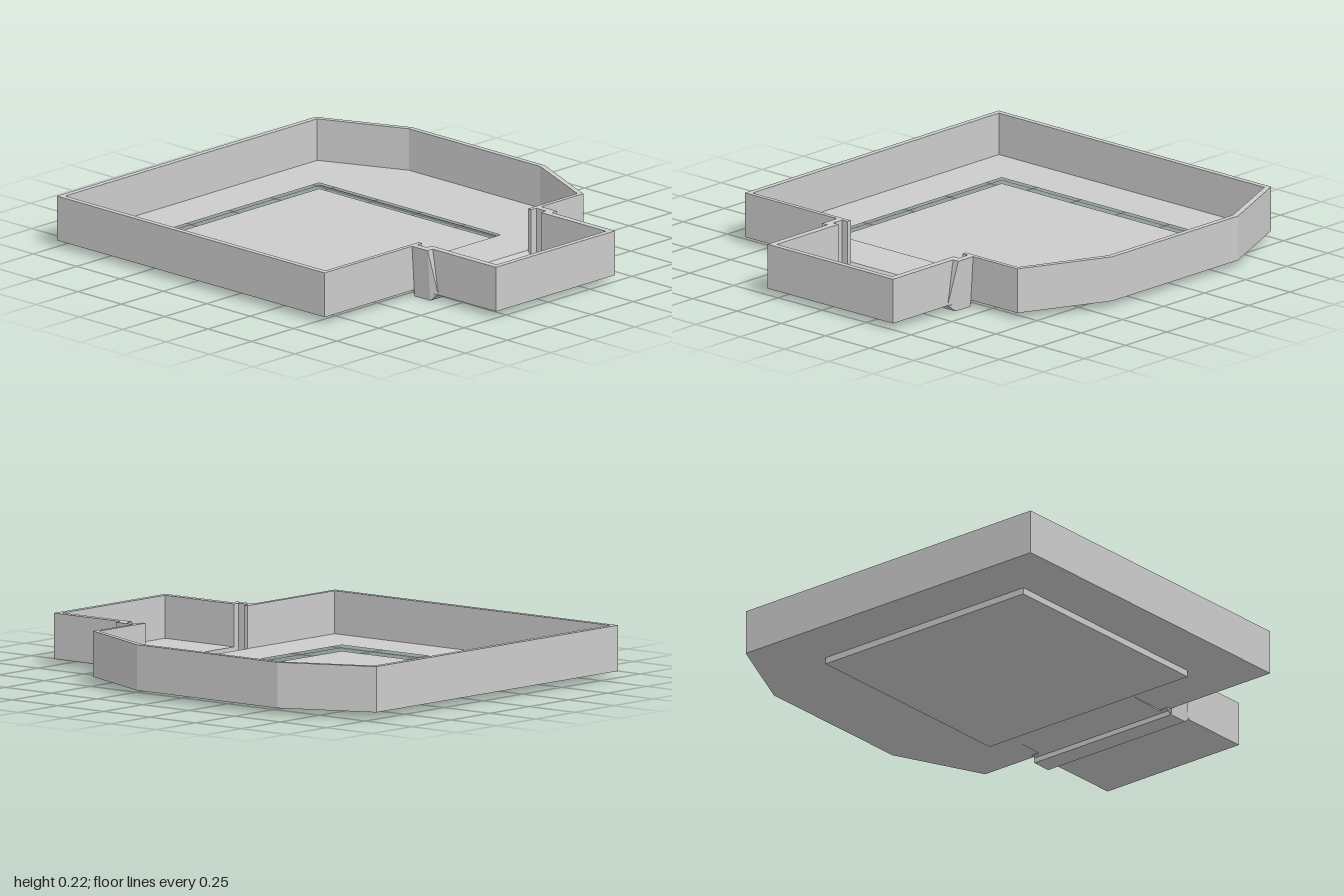
import * as THREE from 'three';
import { ConvexGeometry } from 'three/addons/geometries/ConvexGeometry.js';

const material = new THREE.MeshStandardMaterial({ color: 0xcccccc, flatShading: true });
const toVec = ([x, z]) => new THREE.Vector2(x, -z);
const rect = (x0, x1, z0, z1) => [[x0, z0], [x1, z0], [x1, z1], [x0, z1]];

// Upright slab from a plan outline of [x, z] points, between two heights
function slab(name, outline, y0, y1, hole) {
  const shape = new THREE.Shape(outline.map(toVec));
  if (hole) shape.holes.push(new THREE.Path(hole.map(toVec)));
  const geometry = new THREE.ExtrudeGeometry(shape, { depth: y1 - y0, bevelEnabled: false });
  geometry.rotateX(-Math.PI / 2).translate(0, y0, 0);
  return named(name, geometry);
}

function named(name, geometry) {
  const mesh = new THREE.Mesh(geometry, material);
  mesh.name = name;
  return mesh;
}

// Bar running along x with a [z, y] profile
function bar(name, profile, x0, x1) {
  const shape = new THREE.Shape(profile.map(([z, y]) => new THREE.Vector2(-z, y)));
  const geometry = new THREE.ExtrudeGeometry(shape, { depth: x1 - x0, bevelEnabled: false });
  geometry.rotateY(Math.PI / 2).translate(x0, 0, 0);
  return named(name, geometry);
}

export function createModel() {
  const model = new THREE.Group();
  model.name = 'steppedTray';
  const top = 0.22, base = 0.028, floorTop = 0.04;

  // Main walls, open at the doorway in the front
  const outer = [[-0.28, 0.545], [-0.86, 0.545], [-0.86, -1], [0.68, -1],
    [0.855, -0.61], [0.855, 0.155], [0.68, 0.545], [0.37, 0.545]];
  const inner = [[-0.28, 0.525], [-0.835, 0.525], [-0.835, -0.975], [0.665, -0.975],
    [0.83, -0.605], [0.83, 0.15], [0.665, 0.525], [0.37, 0.525]];
  model.add(slab('mainWall', [...outer, ...inner.slice().reverse()], base, top));

  // Main floor with the sunken square
  const pit = rect(-0.61, 0.445, -0.75, 0.295);
  const pitOuter = rect(-0.615, 0.455, -0.755, 0.305);
  model.add(slab('mainFloor', inner, base, floorTop, pit));
  model.add(slab('recessWall', pitOuter, 0, base, pit));
  model.add(slab('recessFloor', pit, 0, 0.015));

  // Front bay: three walls and a floor
  model.add(slab('bayWall', [[-0.31, 0.6], [-0.31, 1], [0.4, 1], [0.4, 0.6],
    [0.37, 0.6], [0.37, 0.975], [-0.28, 0.975], [-0.28, 0.6]], base, top));
  model.add(slab('bayFloor', rect(-0.28, 0.37, 0.6, 0.975), base, floorTop));

  // Sunken slot across the doorway, with ramped edges
  model.add(bar('threshold', [[0.525, floorTop], [0.525, 0.023], [0.545, 0.022], [0.545, 0],
    [0.635, 0], [0.67, base], [0.6, floorTop], [0.6, 0.015], [0.545, 0.015]], -0.32, 0.41));
  model.add(bar('underRamp', [[0.35, base], [0.525, base], [0.525, 0.021]], -0.28, 0.37));

  // Tapered buttress posts either side of the slot
  for (const side of [-1, 1]) {
    const at = (d, y, z) => new THREE.Vector3(0.045 + side * d, y, z);
    model.add(named(side < 0 ? 'rightPost' : 'leftPost', new ConvexGeometry([
      at(0.385, top, 0.545), at(0.355, top, 0.545), at(0.385, top, 0.635), at(0.355, top, 0.635),
      at(0.37, 0, 0.545), at(0.355, 0, 0.545), at(0.37, 0, 0.635), at(0.355, 0, 0.635),
      at(0.355, base, 0.668),
    ])));
  }
  return model;
}
